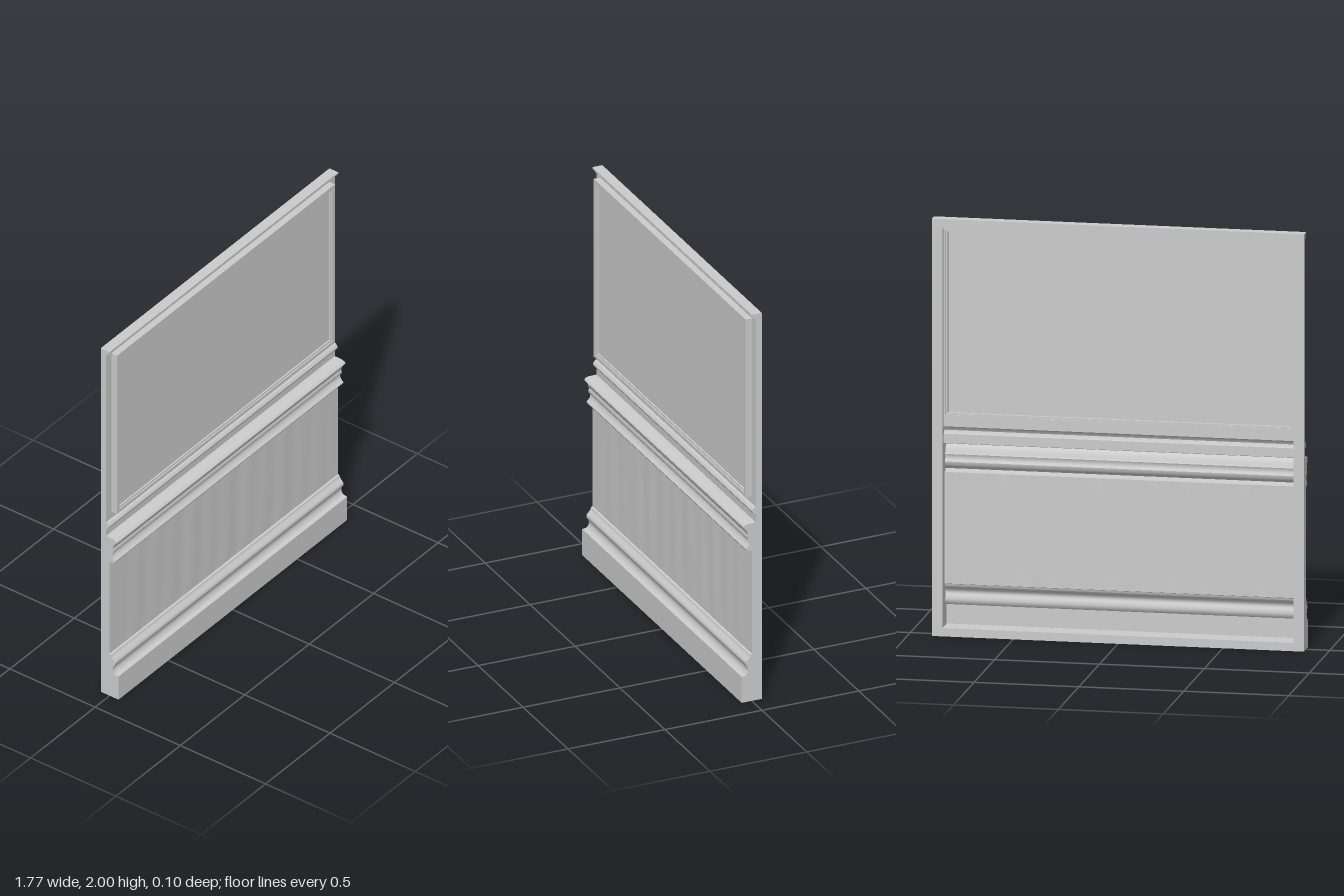
import * as THREE from 'three';
import { toCreasedNormals } from 'three/addons/utils/BufferGeometryUtils.js';

const W = 0.887, INNER = 0.837, BACK = -0.052;
const mat = new THREE.MeshStandardMaterial({ color: 0xcccccc, side: THREE.DoubleSide });

// Front profiles as [y, z]
const LOWER = [
  [0, 0.052], [0.135, 0.052], [0.138, 0.03], [0.15, 0.02], [0.165, 0.017], [0.18, 0.022],
  [0.19, 0.03], [0.2, 0.031], [0.21, 0.027], [0.22, 0.016], [0.23, 0.009], [0.24, 0.007], [0.243, -0.002],
  [0.3, -0.002], [0.4, -0.002], [0.5, -0.002], [0.6, -0.002], [0.7, -0.002], [0.778, -0.002],
  [0.78, 0.025], [0.79, 0.03], [0.8, 0.022], [0.81, 0.012], [0.825, 0.01], [0.835, 0.018],
  [0.848, 0.021], [0.86, 0.016], [0.87, 0.022], [0.885, 0.024], [0.895, 0.033], [0.905, 0.042],
  [0.915, 0.036], [0.92, 0.022], [0.921, -0.021], [0.965, -0.021], [0.968, -0.008], [0.98, -0.003],
  [0.99, -0.008], [0.998, -0.015], [1, -0.021], [1.05, -0.021],
];
const UPPER = [
  [1.95, -0.021], [1.968, -0.021], [1.974, -0.014], [1.982, -0.015], [1.988, -0.006], [1.992, 0], [2, 0], [2, -0.03],
];

function add(group, name, geometry, x = 0, y = 0, z = 0) {
  const mesh = new THREE.Mesh(geometry, mat);
  mesh.name = name;
  mesh.position.set(x, y, z);
  group.add(mesh);
  return mesh;
}

// Thin moulded sheet across the width, with faint upright flutes in the dado
function skin(profile) {
  const cols = 120;
  const geo = new THREE.PlaneGeometry(2 * INNER, 1, cols, profile.length - 1);
  const p = geo.attributes.position;
  for (let i = 0; i < p.count; i++) {
    const x = p.getX(i);
    const [y, z] = profile[profile.length - 1 - Math.floor(i / (cols + 1))];
    const inDado = y > 0.25 && y < 0.75 ? 1 : 0;
    const fade = 1 - Math.pow(Math.abs(x) / INNER, 8);
    const wave = 0.0012 * Math.sin(x * 44) + 0.0006 * Math.sin(x * 27 + y * 3);
    p.setXYZ(i, x, y, z + inDado * fade * wave);
  }
  return toCreasedNormals(geo, 0.7);
}

// Solid side post with the full moulding silhouette
function post() {
  const outline = [...LOWER, ...UPPER.slice(0, -1), [2, BACK], [0, BACK]];
  const shape = new THREE.Shape(outline.map(([y, z]) => new THREE.Vector2(-z, y)));
  const geo = new THREE.ExtrudeGeometry(shape, { depth: W - INNER, bevelEnabled: false });
  geo.rotateY(Math.PI / 2);
  return toCreasedNormals(geo, 0.7);
}

function rectangle(target, hx, hy) {
  target.moveTo(-hx, -hy);
  target.lineTo(hx, -hy);
  target.lineTo(hx, hy);
  target.lineTo(-hx, hy);
  target.closePath();
  return target;
}

function ring(hx, hy, width, depth) {
  const shape = rectangle(new THREE.Shape(), hx, hy);
  shape.holes.push(rectangle(new THREE.Path(), hx - width, hy - width));
  return new THREE.ExtrudeGeometry(shape, { depth, bevelEnabled: false });
}

export function createModel() {
  const group = new THREE.Group();
  group.name = 'wallPanel';

  // Moulded front sheets
  add(group, 'dadoAndMouldings', skin(LOWER));
  add(group, 'topMoulding', skin(UPPER));

  // Structural frame, open at the back
  const postGeo = post();
  add(group, 'leftPost', postGeo, INNER);
  add(group, 'rightPost', postGeo, -W);
  add(group, 'bottomRail', new THREE.BoxGeometry(2 * INNER, 0.04, 0.1035), 0, 0.02, -0.00025);
  add(group, 'topRail', new THREE.BoxGeometry(2 * INNER, 0.045, 0.03), 0, 1.9775, -0.037);

  // Upper panel with its stepped raised border
  add(group, 'panelBorder', ring(0.845, 0.461, 0.018, 0.034), 0, 1.499, -0.022);
  add(group, 'panelInnerBead', ring(0.83, 0.446, 0.012, 0.024), 0, 1.499, -0.018);
  add(group, 'upperPanel', new THREE.PlaneGeometry(1.66, 0.89), 0, 1.499, -0.002);

  return group;
}
